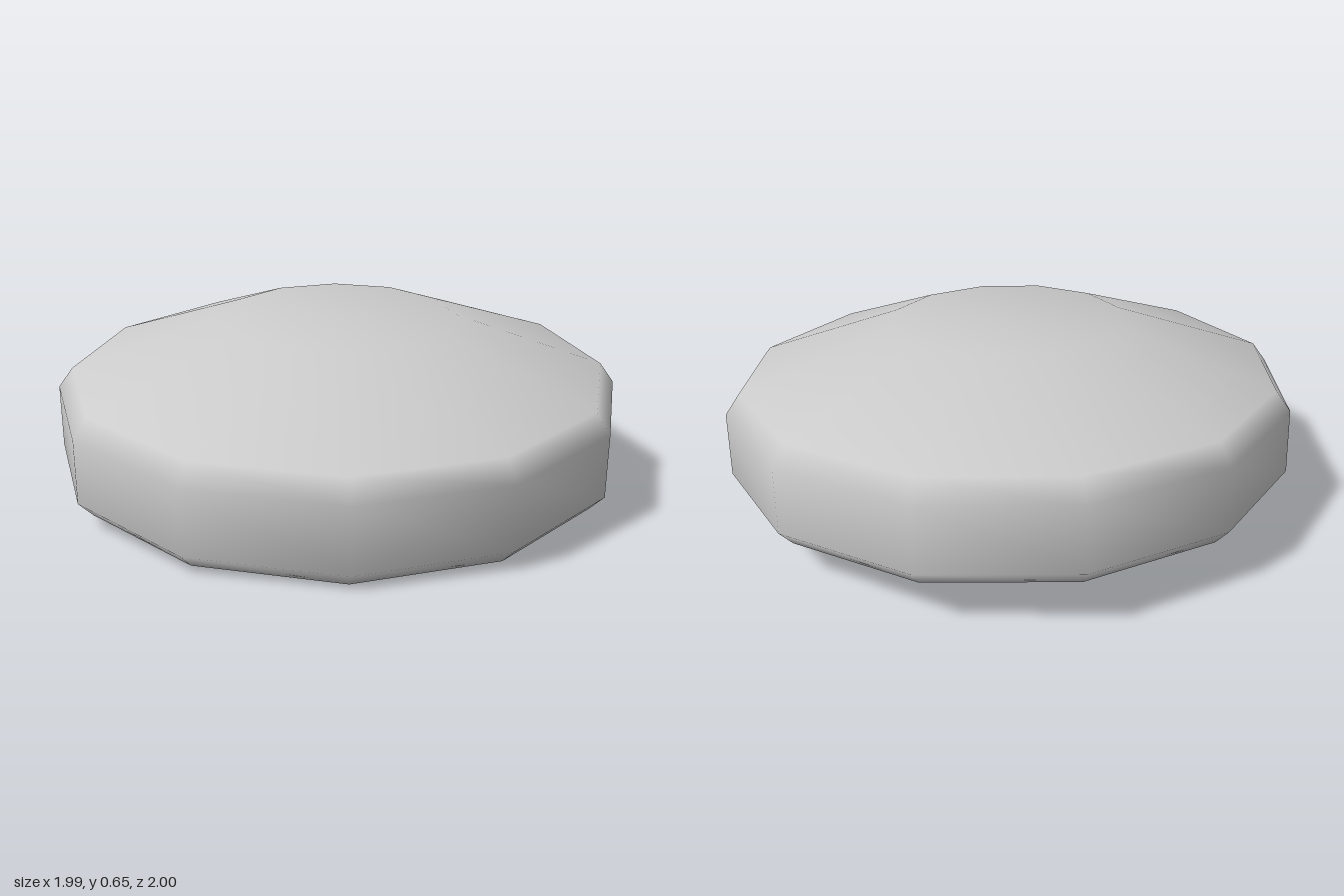
import * as THREE from 'three';

const SIDES = 12;

export function createModel() {
  const model = new THREE.Group();
  const material = new THREE.MeshStandardMaterial({ color: 0xcccccc });

  // Spins a [radius, height] profile, listed from the inside outwards and up
  const addRing = (name, profile) => {
    const points = profile.map(([r, h]) => new THREE.Vector2(r, h));
    const mesh = new THREE.Mesh(new THREE.LatheGeometry(points, SIDES), material);
    mesh.name = name;
    tilted.add(mesh);
  };

  // The whole cap leans forward by five degrees
  const tilted = new THREE.Group();
  tilted.name = 'cap';
  tilted.position.set(0, 0.083, -0.014);
  tilted.rotation.x = THREE.MathUtils.degToRad(5);
  model.add(tilted);

  // Flat ceiling of the hollow underside
  addRing('hollowCeiling', [[0, 0.29], [0.625, 0.29]]);

  // Hollow wall, lip, bevelled side, sloping shoulder and flat top
  addRing('shell', [
    [0.625, 0.29], [0.805, 0.05], [0.944, 0], [0.994, 0.053],
    [0.994, 0.275], [0.944, 0.345], [0.414, 0.533], [0, 0.533],
  ]);

  return model;
}
